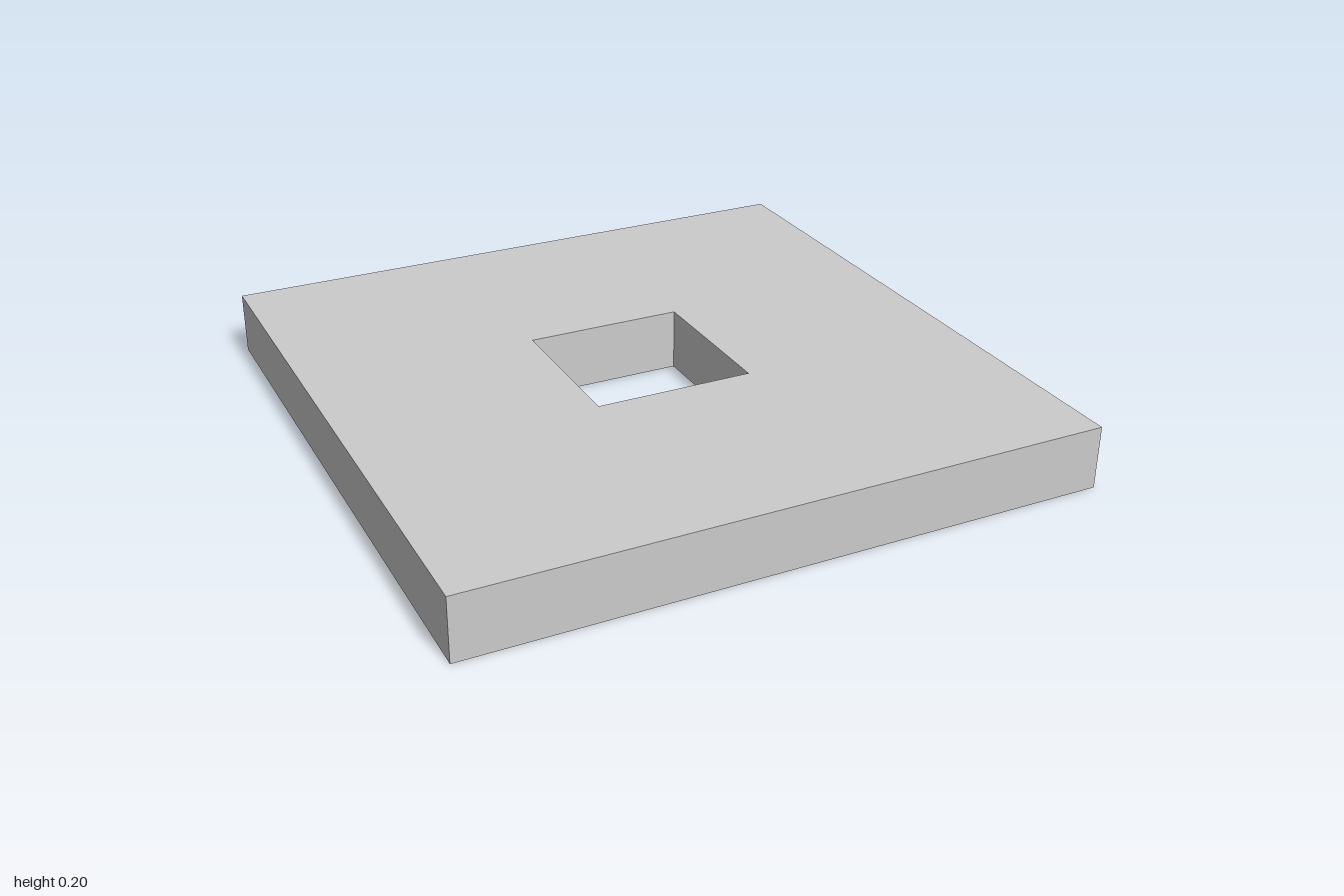
import * as THREE from 'three';

const SIZE = 2, HOLE = 0.505, THICKNESS = 0.2;

// Adds a centred square outline to a shape or path
function square(path, size) {
  const h = size / 2;
  return path.moveTo(-h, -h).lineTo(h, -h).lineTo(h, h).lineTo(-h, h).closePath();
}

export function createModel() {
  const group = new THREE.Group();
  group.name = 'squareWasher';

  // Flat square plate with a square through-hole
  const outline = square(new THREE.Shape(), SIZE);
  outline.holes.push(square(new THREE.Path(), HOLE));
  const geometry = new THREE.ExtrudeGeometry(outline, { depth: THICKNESS, bevelEnabled: false });
  geometry.rotateX(-Math.PI / 2); // lay flat, bottom on y = 0

  const plate = new THREE.Mesh(geometry, new THREE.MeshStandardMaterial({ color: 0xcccccc, flatShading: true }));
  plate.name = 'plate';
  group.add(plate);
  return group;
}
